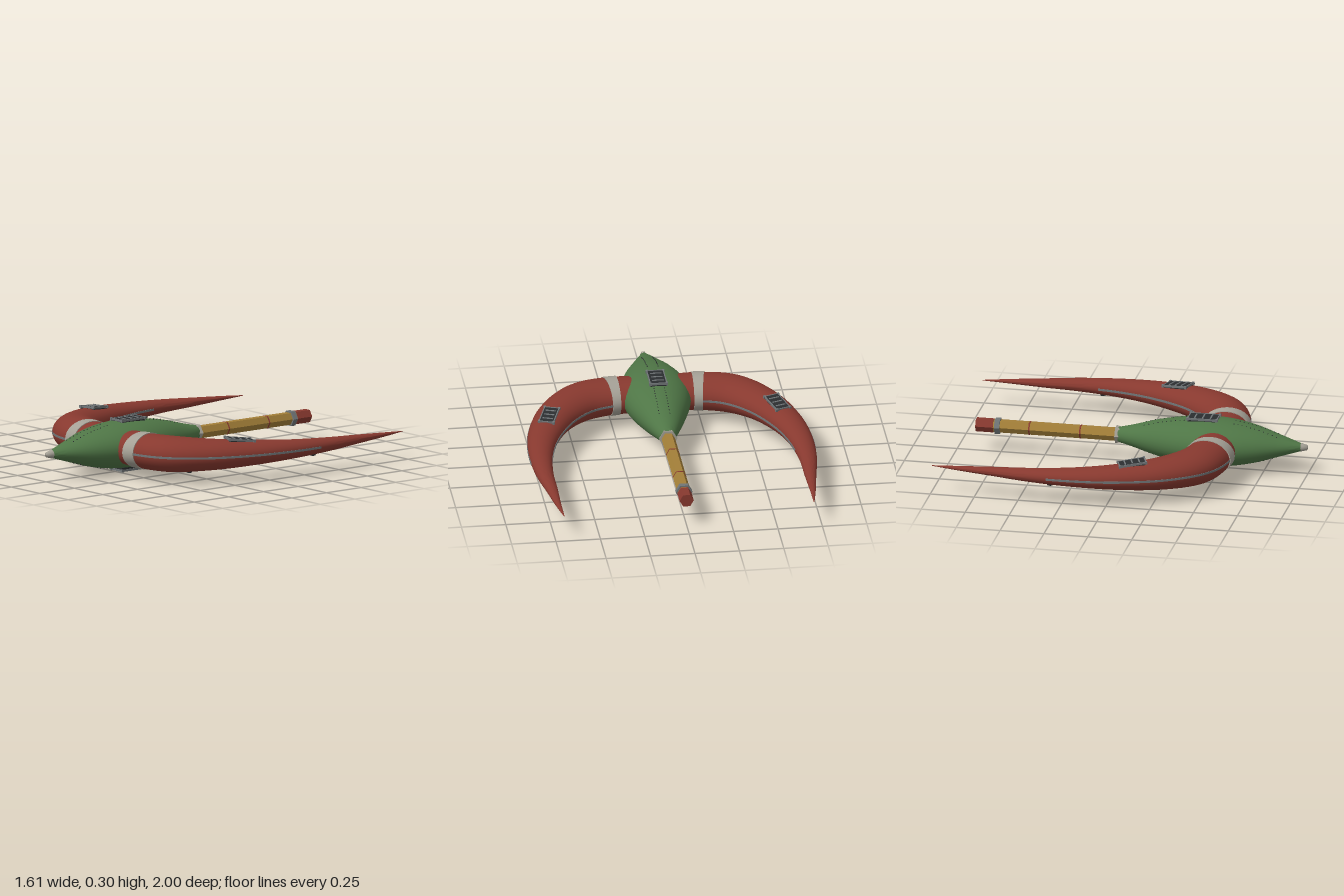
import * as THREE from 'three';
import { toCreasedNormals } from 'three/addons/utils/BufferGeometryUtils.js';

const mat = (name, color) => {
  const m = new THREE.MeshStandardMaterial({ color });
  m.name = name;
  return m;
};
const AXIS_Y = 0.155;

// Loft a closed profile through frames { c, u, v } where u x v points along the path
function loft(profile, frames) {
  const pos = [], idx = [], n = profile.length;
  for (const { c, u, v } of frames)
    for (const [a, b] of profile)
      pos.push(c.x + u.x * a + v.x * b, c.y + u.y * a + v.y * b, c.z + u.z * a + v.z * b);
  for (let i = 0; i < frames.length - 1; i++)
    for (let j = 0; j < n; j++) {
      const k = (j + 1) % n, p = i * n, q = p + n;
      idx.push(p + j, p + k, q + j, p + k, q + k, q + j);
    }
  const g = new THREE.BufferGeometry();
  g.setAttribute('position', new THREE.Float32BufferAttribute(pos, 3));
  g.setIndex(idx);
  return toCreasedNormals(g, 0.6);
}
const circle = Array.from({ length: 32 }, (_, i) => {
  const a = (i / 32) * Math.PI * 2;
  return [Math.cos(a), Math.sin(a)];
});
const rectangle = [[1, -1], [1, 1], [-1, 1], [-1, -1]];

// Horn path: x and z of the centre, plus radius
const hornPath = new THREE.CatmullRomCurve3([
  [0.1, 0.487, 0.128], [0.245, 0.487, 0.132], [0.42, 0.435, 0.134], [0.57, 0.28, 0.117],
  [0.68, 0.04, 0.092], [0.73, -0.19, 0.07], [0.742, -0.44, 0.05], [0.728, -0.65, 0.033],
  [0.716, -0.85, 0.016], [0.703, -1, 0.002],
].map((p) => new THREE.Vector3(...p)));

function hornFrame(t, side, halfWidth, halfHeight) {
  const p = hornPath.getPoint(t), d = hornPath.getTangent(t);
  const along = new THREE.Vector3(d.x * side, 0, d.y).normalize();
  const up = new THREE.Vector3(0, 1, 0);
  return {
    c: new THREE.Vector3(p.x * side, AXIS_Y, p.y),
    u: up.clone().cross(along).multiplyScalar(halfWidth(p.z)),
    v: up.multiplyScalar(halfHeight(p.z)),
  };
}

// Body path: z, half width, half height
const bodyPath = new THREE.CatmullRomCurve3([
  [-0.08, 0.042, 0.042], [0, 0.072, 0.06], [0.15, 0.125, 0.1], [0.3, 0.172, 0.124],
  [0.43, 0.196, 0.132], [0.56, 0.188, 0.125], [0.7, 0.145, 0.1], [0.85, 0.078, 0.055],
  [0.97, 0.02, 0.019],
].map((p) => new THREE.Vector3(...p)));

export function createModel() {
  const green = mat('hull green', 0x4f7646);
  const red = mat('horn red', 0x88392f);
  const gold = mat('handle gold', 0xa37f38);
  const pale = mat('pale grey', 0xa5a196);
  const steel = mat('steel grey', 0x707577);
  const dark = mat('vent black', 0x2b2e30);

  const model = new THREE.Group();
  model.name = 'hornedShip';
  const add = (name, geometry, material, x = 0, y = 0, z = 0, parent = model) => {
    const m = new THREE.Mesh(geometry, material);
    m.name = name;
    m.position.set(x, y, z);
    parent.add(m);
    return m;
  };

  // Spindle-shaped body
  const frames = [];
  for (let i = 0; i <= 48; i++) {
    const p = bodyPath.getPoint(i / 48);
    frames.push({
      c: new THREE.Vector3(0, AXIS_Y, p.x),
      u: new THREE.Vector3(p.y, 0, 0),
      v: new THREE.Vector3(0, p.z, 0),
    });
  }
  add('body', loft(circle, frames), green);

  // Rounded nose tip
  const tip = [[0.025, 0], [0.021, 0.012], [0.015, 0.035], [0, 0.04]].map((p) => new THREE.Vector2(...p));
  add('noseTip', new THREE.LatheGeometry(tip, 20).rotateX(Math.PI / 2), pale, 0, AXIS_Y, 0.96);

  // Rivet rows on the top and bottom of the body
  const rivet = new THREE.SphereGeometry(0.0035, 6, 4);
  for (let i = 2; i <= 46; i++) {
    const p = bodyPath.getPoint(i / 48);
    if ((p.x > 0.3 && p.x < 0.58) || p.x < 0.05 || p.x > 0.83) continue;
    const x = 0.03;
    const h = p.z * Math.sqrt(1 - (x / p.y) ** 2);
    for (const sx of [-1, 1])
      for (const sy of [-1, 1]) add('rivet', rivet, dark, sx * x, AXIS_Y + sy * h, p.x);
  }

  // Framed vent with three slats, facing +y
  const makeVent = (name, w, l) => {
    const g = new THREE.Group();
    g.name = name;
    add('ventPanel', new THREE.BoxGeometry(w, 0.02, l), dark, 0, 0, 0, g);
    for (const s of [-1, 1]) {
      add('ventSideRail', new THREE.BoxGeometry(0.006, 0.012, l), steel, s * w / 2, 0.006, 0, g);
      add('ventEndRail', new THREE.BoxGeometry(w, 0.012, 0.006), steel, 0, 0.006, s * l / 2, g);
      for (const e of [-1, 1])
        add('ventCorner', new THREE.BoxGeometry(0.013, 0.016, 0.013), steel, s * w / 2, 0.006, e * l / 2, g);
    }
    for (const k of [-1, 0, 1])
      add('ventSlat', new THREE.BoxGeometry(w * 0.72, 0.008, 0.008), steel, 0, 0.009, k * l * 0.27, g);
    model.add(g);
    return g;
  };
  makeVent('topVent', 0.092, 0.165).position.set(0, 0.287, 0.405);
  const lowerVent = makeVent('bottomVent', 0.092, 0.165);
  lowerVent.position.set(0, 0.016, 0.405);
  lowerVent.rotation.z = Math.PI;

  // Curved horns with collars, edge strips, vents and lower studs
  for (const s of [-1, 1]) {
    const sideName = s > 0 ? 'left' : 'right';
    const sweep = (t0, t1, n, w, h) =>
      Array.from({ length: n + 1 }, (_, i) => hornFrame(t0 + ((t1 - t0) * i) / n, s, w, h));
    add(sideName + 'Horn', loft(circle, sweep(0, 1, 72, (r) => r, (r) => r * 0.75)), red);

    const [a, b] = [0.085, 0.13];
    const collar = [[a, 0.95], [a, 1.04], [(a + b) / 2, 1.04], [b, 1.04], [b, 0.95]].map(([t, k]) =>
      hornFrame(t, s, (r) => r * k, (r) => r * 0.75 * k));
    add(sideName + 'Collar', loft(circle, collar), pale);

    add(sideName + 'EdgeStrip', loft(rectangle, sweep(0.13, 0.62, 48, (r) => r + 0.002, () => 0.006)), steel);

    const vent = makeVent(sideName + 'HornVent', 0.082, 0.148);
    vent.position.set(s * 0.642, 0.228, 0.128);
    vent.rotation.set(-0.12, -s * 0.343, 0, 'YXZ');

    const stud = new THREE.CylinderGeometry(0.02, 0.016, 0.02, 6);
    add(sideName + 'FrontStud', stud, dark, s * 0.5, 0.064, 0.375);
    add(sideName + 'RearStud', stud, dark, s * 0.74, 0.113, -0.32);
  }

  // Hexagonal tail handle
  const hex = (name, r0, r1, zBack, zFront, material) => {
    const g = new THREE.CylinderGeometry(r1, r0, zFront - zBack, 6).rotateY(Math.PI / 6).rotateX(Math.PI / 2);
    add(name, toCreasedNormals(g, 0.5), material, 0, AXIS_Y, (zBack + zFront) / 2);
  };
  hex('handle', 0.038, 0.038, -0.8, -0.06, gold);
  hex('handleSocket', 0.052, 0.042, -0.095, -0.055, pale);
  hex('handleBand', 0.0395, 0.0395, -0.299, -0.291, red);
  hex('handleBand', 0.0395, 0.0395, -0.589, -0.581, red);
  hex('handleRing', 0.047, 0.047, -0.782, -0.752, steel);
  hex('handleEnd', 0.04, 0.04, -0.89, -0.79, red);

  return model;
}
